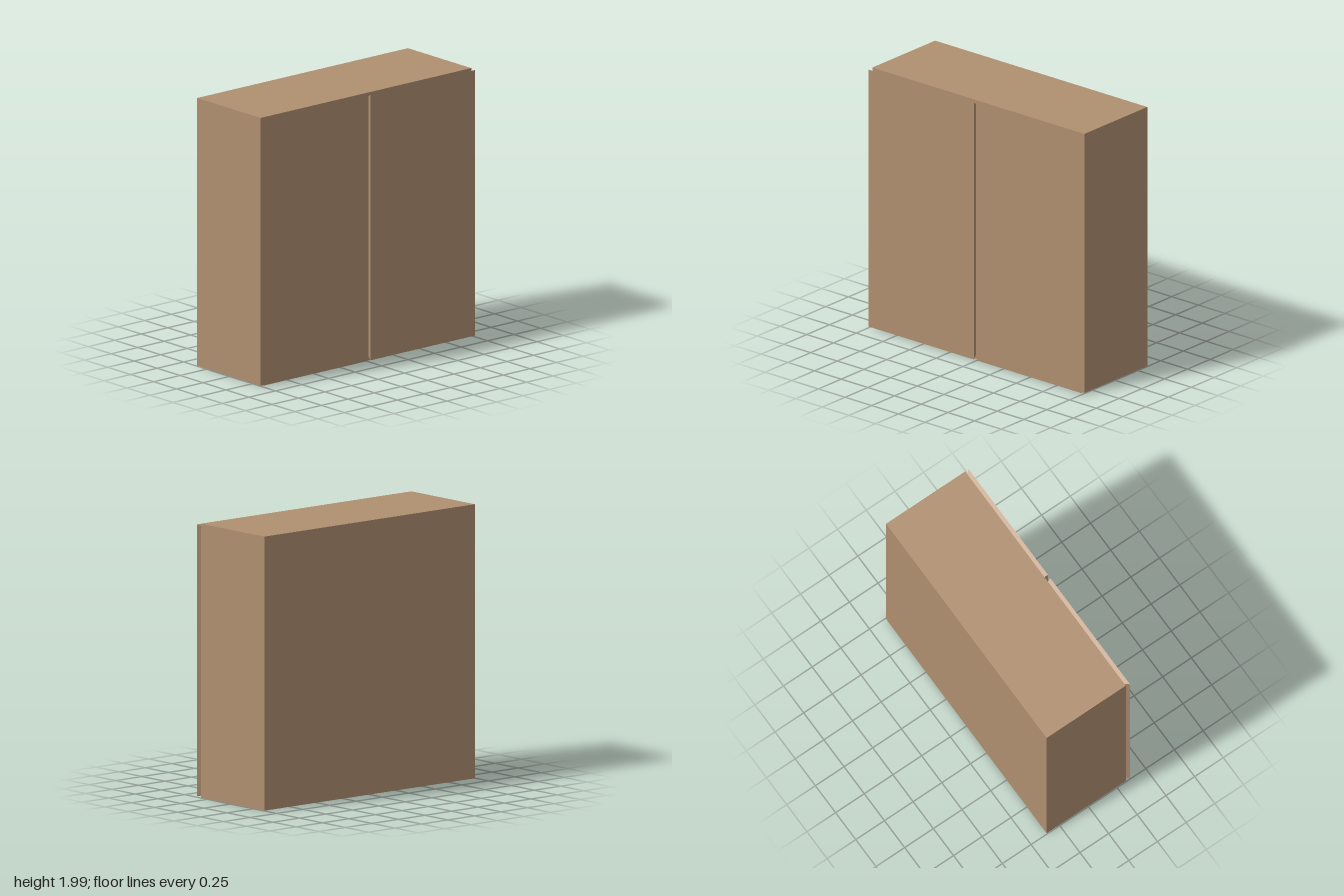
import * as THREE from 'three';

const BACK = -0.36, FACE = 0.33, FRONT = 0.362, HEIGHT = 1.985;

// Door panel whose edges taper inward toward the cabinet
function doorGeometry() {
  const width = 0.985, height = 1.968, depth = FRONT - FACE;
  const geo = new THREE.BoxGeometry(width, height, depth).toNonIndexed();
  const p = geo.attributes.position;
  for (let i = 0; i < p.count; i++) {
    if (p.getZ(i) > 0) continue;
    // outer edge tapers most, the edge beside the gap least
    p.setX(i, p.getX(i) + (p.getX(i) > 0 ? -0.035 : 0.008));
    p.setY(i, p.getY(i) - Math.sign(p.getY(i)) * 0.021);
  }
  geo.computeVertexNormals();
  geo.translate(0.015 + width / 2, HEIGHT / 2, (FACE + FRONT) / 2);
  return geo;
}

// Mirrored copy across x = 0, with the corner order flipped back
function mirrorX(source) {
  const geo = source.clone().scale(-1, 1, 1);
  const p = geo.attributes.position;
  for (let i = 0; i < p.count; i += 3) {
    const a = new THREE.Vector3().fromBufferAttribute(p, i + 1);
    const b = new THREE.Vector3().fromBufferAttribute(p, i + 2);
    p.setXYZ(i + 1, b.x, b.y, b.z);
    p.setXYZ(i + 2, a.x, a.y, a.z);
  }
  geo.computeVertexNormals();
  return geo;
}

export function createModel() {
  const group = new THREE.Group();
  group.name = 'wallCabinet';
  const wood = new THREE.MeshStandardMaterial({ color: 0xb08f70 });
  wood.name = 'lightBrownWood';

  const add = (name, geo) => {
    const mesh = new THREE.Mesh(geo, wood);
    mesh.name = name;
    group.add(mesh);
    return mesh;
  };

  // Cabinet body
  add('cabinetBody', new THREE.BoxGeometry(1.988, HEIGHT, FACE - BACK))
    .position.set(0, HEIGHT / 2, (FACE + BACK) / 2);

  // Pair of doors with a narrow gap between them
  const door = doorGeometry();
  add('leftDoor', door);
  add('rightDoor', mirrorX(door));

  return group;
}
